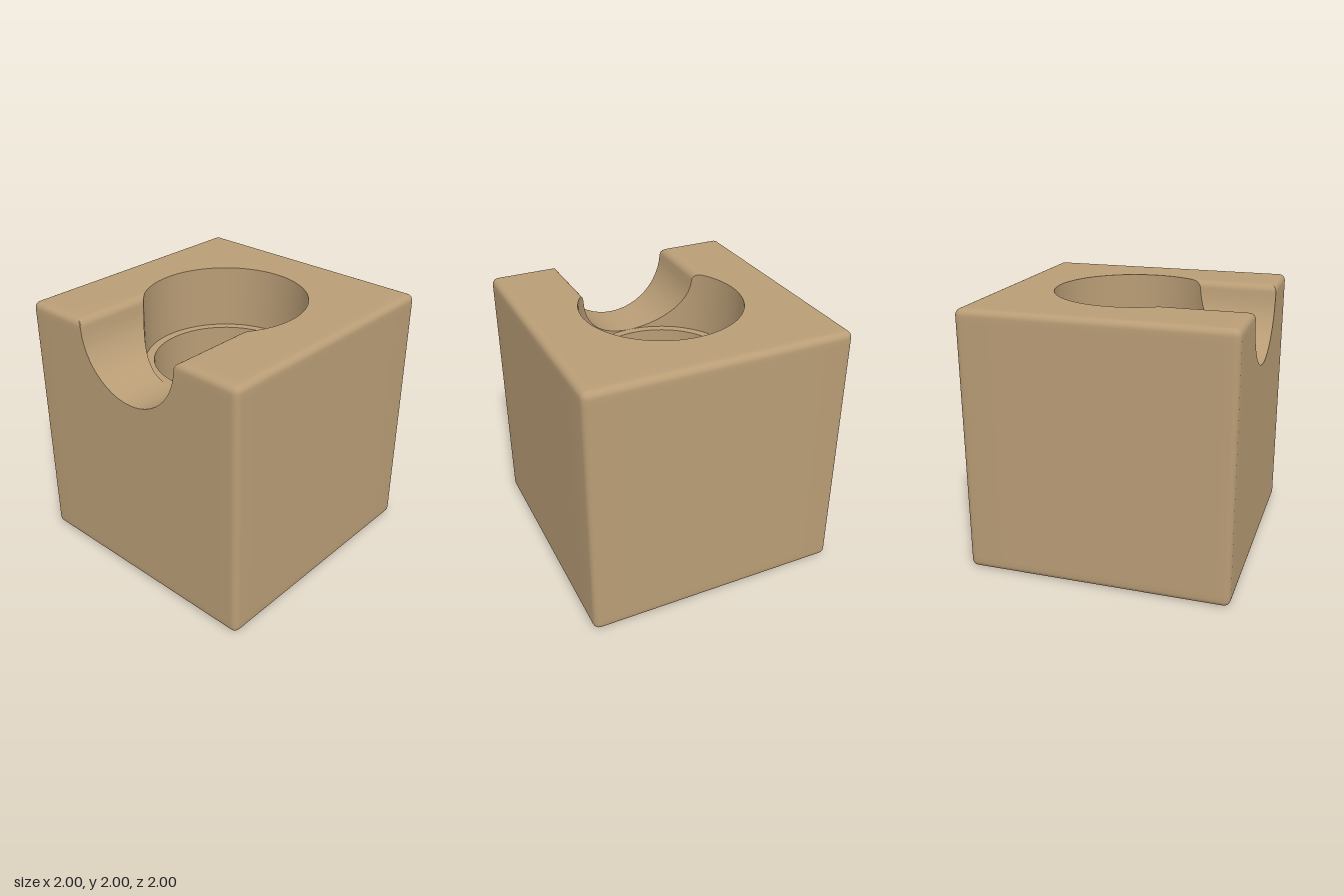
import * as THREE from 'three';
import { toCreasedNormals } from 'three/addons/utils/BufferGeometryUtils.js';

const HALF = 1, EDGE = 0.05, CORE = HALF - EDGE;   // cube and its rounded edges
const BORE = 0.545, SEAT = 0.61, LEDGE_Y = 1.51;   // through hole, wider upper hole, step
const GROOVE_R = 0.46, GROOVE_Y = 1.97, LIP = 0.06; // side groove and its rounded lips

// Groove cross-section as [z, y], from the back lip to the front lip
function grooveProfile() {
  const lipY = 2 - LIP, drop = GROOVE_Y - lipY, reach = GROOVE_R + LIP;
  const lipZ = Math.sqrt(reach * reach - drop * drop);
  const tilt = Math.asin(drop / reach);
  const half = [];
  for (let i = 0; i <= 12; i++) {
    const a = -Math.PI / 2 + (Math.PI / 2 - tilt) * i / 12;
    half.push([GROOVE_R * Math.cos(a), GROOVE_Y + GROOVE_R * Math.sin(a)]);
  }
  for (let i = 1; i <= 6; i++) {
    const a = Math.PI - tilt + (tilt - Math.PI / 2) * i / 6;
    half.push([lipZ + LIP * Math.cos(a), lipY + LIP * Math.sin(a)]);
  }
  return [...half.slice(1).reverse().map(([z, y]) => [-z, y]), ...half];
}

// Columns pair a hole angle with a point on the cube outline, once around
function makeColumns() {
  const profile = grooveProfile();
  const columns = profile.map(([z, top]) => (
    { angle: Math.asin(z / SEAT), core: [-CORE, z], normal: [-1, 0], top }));
  const edgeZ = profile[profile.length - 1][0];

  // Outline from the front lip round to the back lip
  const outline = [];
  const corners = [[-CORE, CORE], [CORE, CORE], [CORE, -CORE], [-CORE, -CORE]];
  let from = [-CORE, edgeZ];
  const straight = (to, n, normal) => {
    for (let i = 1; i < n; i++) {
      const t = i / n;
      outline.push({ core: [from[0] + (to[0] - from[0]) * t, from[1] + (to[1] - from[1]) * t], normal });
    }
  };
  const dir = a => [-Math.cos(a), Math.sin(a)];
  corners.forEach((c, k) => {
    straight(c, k ? 8 : 3, dir(k * Math.PI / 2));
    for (let i = 0; i <= 6; i++) outline.push({ core: c, normal: dir((k + i / 6) * Math.PI / 2) });
    from = c;
  });
  straight([-CORE, -edgeZ], 3, [-1, 0]);

  const start = Math.asin(edgeZ / SEAT), sweep = 2 * Math.PI - 2 * start;
  outline.forEach((o, i) => columns.push(
    { ...o, angle: start + sweep * (i + 1) / (outline.length + 1), top: 2 }));
  return columns;
}

// One vertical section: bore, ledge, seat wall, top, outer side, underside
function section({ angle, core, normal, top }) {
  const pts = [];
  const ring = (r, y) => pts.push([-r * Math.cos(angle), y, r * Math.sin(angle)]);
  const outer = (inset, y) => pts.push([core[0] + normal[0] * inset, y, core[1] + normal[1] * inset]);
  const flat = (r, t, y) => pts.push([
    -r * Math.cos(angle) * (1 - t) + core[0] * t, y, r * Math.sin(angle) * (1 - t) + core[1] * t]);
  ring(BORE, 0);
  ring(BORE, LEDGE_Y);
  ring(SEAT, LEDGE_Y);
  ring(SEAT, top);
  flat(SEAT, 0.9, top);
  for (let i = 0; i <= 6; i++) {
    const a = Math.PI / 2 * (1 - i / 6);
    outer(EDGE * Math.cos(a), Math.min(top, 2 - EDGE + EDGE * Math.sin(a)));
  }
  outer(EDGE, Math.min(top, 2 - EDGE) - 0.04);
  outer(EDGE, EDGE + 0.04);
  for (let i = 0; i <= 6; i++) {
    const a = Math.PI / 2 * i / 6;
    outer(EDGE * Math.cos(a), EDGE - EDGE * Math.sin(a));
  }
  flat(BORE, 0.9, 0);
  return pts;
}

function blockGeometry() {
  const grid = makeColumns().map(section);
  const n = grid.length, m = grid[0].length, index = [];
  for (let i = 0; i < n; i++) {
    for (let j = 0; j < m; j++) {
      const i2 = (i + 1) % n, j2 = (j + 1) % m;
      const a = i * m + j, b = i * m + j2, c = i2 * m + j2, d = i2 * m + j;
      index.push(a, b, d, b, c, d);
    }
  }
  const geometry = new THREE.BufferGeometry();
  geometry.setAttribute('position', new THREE.Float32BufferAttribute(grid.flat(2), 3));
  geometry.setIndex(index);
  return toCreasedNormals(geometry, 0.6);
}

export function createModel() {
  const group = new THREE.Group();
  group.name = 'groovedBlock';
  const tan = new THREE.MeshStandardMaterial({ color: 0xb99d76 });
  tan.name = 'tan';
  const block = new THREE.Mesh(blockGeometry(), tan);
  block.name = 'block';
  group.add(block);
  return group;
}
